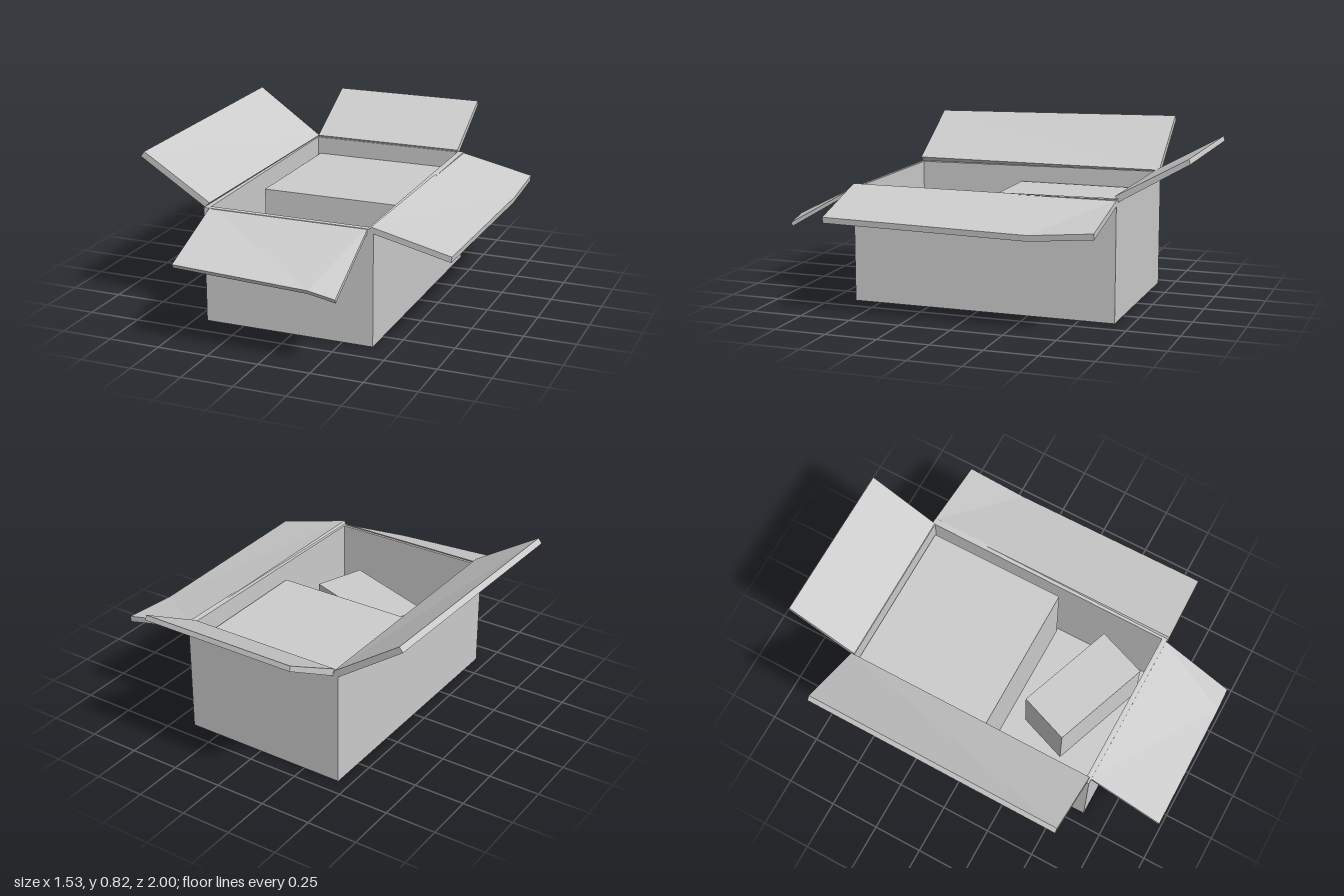
import * as THREE from 'three';

const cardboard = new THREE.MeshStandardMaterial({ color: 0xcccccc });
cardboard.name = 'cardboard grey';

// Thin panel lofted through sections, each [hinge top, outer top, outer bottom, hinge bottom]
function flapGeometry(sections) {
  const pos = [];
  const quad = (a, b, c, d) => pos.push(...a, ...b, ...c, ...a, ...c, ...d);
  for (let i = 0; i < sections.length - 1; i++) {
    const s = sections[i], t = sections[i + 1];
    for (let k = 0; k < 4; k++) {
      const n = (k + 1) % 4;
      quad(s[k], s[n], t[n], t[k]);
    }
  }
  quad(...[...sections[0]].reverse());
  quad(...sections[sections.length - 1]);
  const geo = new THREE.BufferGeometry();
  geo.setAttribute('position', new THREE.Float32BufferAttribute(pos, 3));
  geo.computeVertexNormals();
  return geo;
}

export function createModel() {
  const model = new THREE.Group();
  model.name = 'openCardboardBox';
  const add = (name, geo, x = 0, y = 0, z = 0, turn = 0) => {
    const mesh = new THREE.Mesh(geo, cardboard);
    mesh.name = name;
    mesh.position.set(x, y, z);
    mesh.rotation.y = turn;
    model.add(mesh);
  };

  // Walls: a rectangular ring, its rim rising slightly towards the back
  const rect = (Type, x0, x1, z0, z1) => new Type([
    new THREE.Vector2(x0, -z1), new THREE.Vector2(x1, -z1),
    new THREE.Vector2(x1, -z0), new THREE.Vector2(x0, -z0),
  ]);
  const ring = rect(THREE.Shape, -0.44, 0.4, -0.67, 0.63);
  ring.holes.push(rect(THREE.Path, -0.415, 0.37, -0.655, 0.605));
  const walls = new THREE.ExtrudeGeometry(ring, { depth: 0.57, bevelEnabled: false });
  walls.rotateX(-Math.PI / 2);
  const p = walls.attributes.position;
  for (let i = 0; i < p.count; i++) {
    if (p.getY(i) > 0.3) p.setY(i, 0.57 - 0.012 * p.getZ(i));
  }
  walls.computeVertexNormals();
  add('walls', walls);
  add('floor', new THREE.BoxGeometry(0.8, 0.02, 1.28), -0.02, 0.01, -0.02);

  // Side flaps: the right one raised, the left one drooping with a bent back corner
  const rightSection = (z, lift) => [
    [-0.415, 0.585, z], [-0.75, 0.8 + lift, z], [-0.768, 0.775 + lift, z], [-0.44, 0.562, z],
  ];
  add('rightFlap', flapGeometry([rightSection(-0.67, 0.02), rightSection(0.62, -0.005)]));

  const leftSection = (zHinge, zOuter, y) => [
    [0.39, 0.575, zHinge], [0.763, y, zOuter], [0.76, y - 0.028, zOuter], [0.375, 0.55, zHinge],
  ];
  add('leftFlap', flapGeometry([
    leftSection(0.635, 0.62, 0.48), leftSection(-0.67, -0.37, 0.464), leftSection(-0.67, -0.67, 0.492),
  ]));

  // Front flap drooping with a bent corner, back flap raised
  const frontSection = (xHinge, xOuter, y, z) => [
    [xHinge, 0.567, 0.615], [xOuter, y, z], [xOuter, y - 0.018, z - 0.008], [xHinge, 0.54, 0.632],
  ];
  add('frontFlap', flapGeometry([
    frontSection(-0.413, -0.413, 0.411, 1), frontSection(0.37, 0.24, 0.381, 0.995),
    frontSection(0.37, 0.365, 0.355, 0.99),
  ]));

  const backSection = (x) => [
    [x, 0.588, -0.655], [x, 0.774, -0.99], [x, 0.75, -0.997], [x, 0.56, -0.67],
  ];
  add('backFlap', flapGeometry([backSection(0.37), backSection(-0.413)]));

  // Contents: a large carton at the back and a small turned one at the front
  add('largeCarton', new THREE.BoxGeometry(0.755, 0.47, 0.703), -0.0225, 0.255, -0.2985);
  add('smallCarton', new THREE.BoxGeometry(0.522, 0.33, 0.266), 0.049, 0.185, 0.355, -0.352);

  return model;
}
